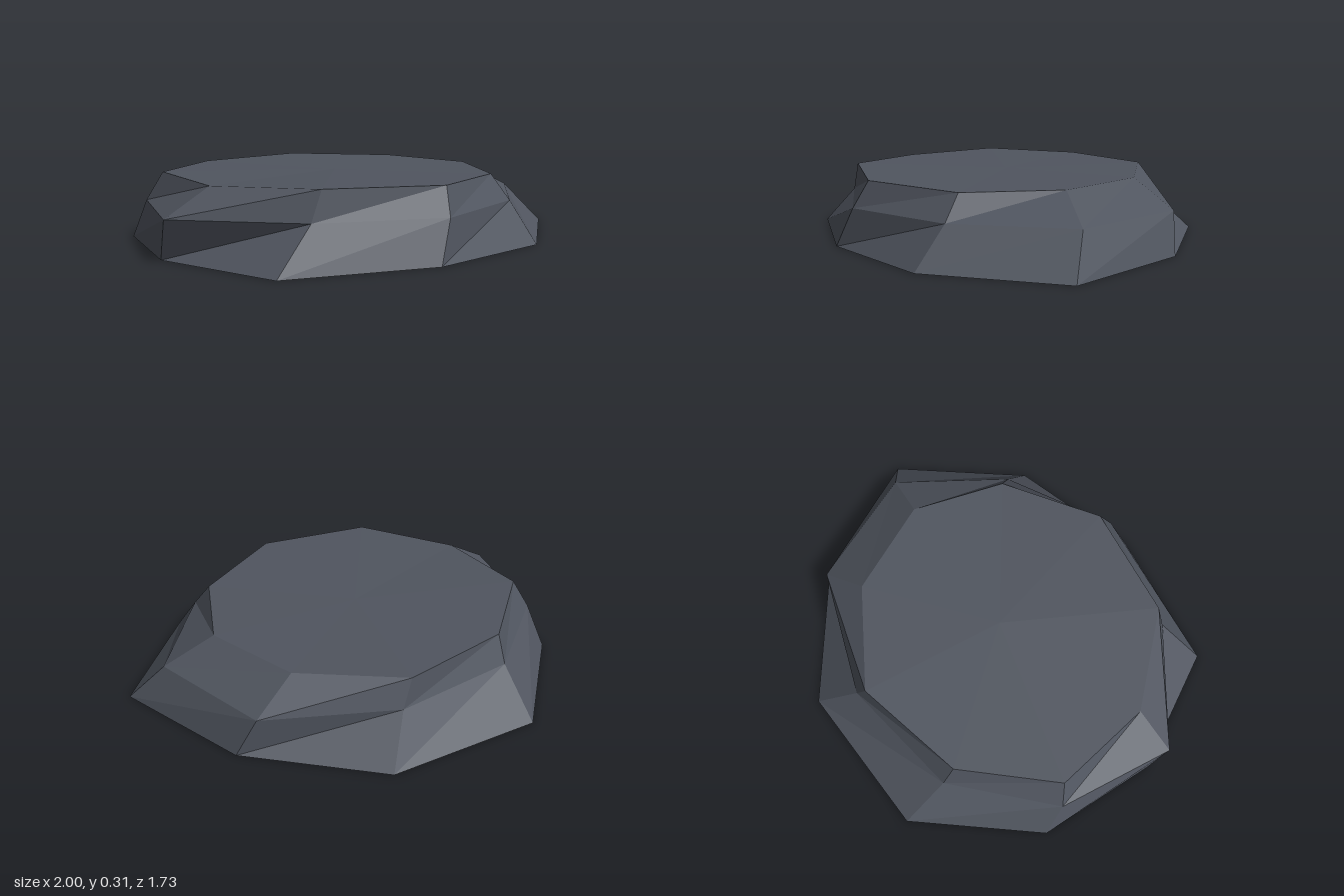
import * as THREE from 'three';

// Corners of each ring as [x, z, y], going round from +x towards +z
const foot = [[1, 0.05], [0.64, 0.61], [0.05, 0.86], [-0.63, 0.845], [-0.97, 0.33],
  [-1, -0.23], [-0.64, -0.76], [0.07, -0.865], [0.65, -0.52]].map(([x, z]) => [x, z, 0]);
const shoulder = [[0.84, -0.03], [0.58, 0.47], [0.12, 0.79], [-0.45, 0.72], [-0.97, 0.42],
  [-0.95, -0.13], [-0.6, -0.54], [-0.04, -0.69], [0.56, -0.55]].map(([x, z]) => [x, z, 0.183]);
const rim = [[0.605, -0.04, 0.303], [0.52, 0.4, 0.298], [0.135, 0.72, 0.306], [-0.4, 0.705, 0.315],
  [-0.77, 0.37, 0.303], [-0.88, -0.09, 0.312], [-0.59, -0.48, 0.309], [-0.09, -0.655, 0.311],
  [0.37, -0.44, 0.306]];

// Flat-faced mesh from a list of [x, z, y] triangle corners
function facets(name, corners, material) {
  const geometry = new THREE.BufferGeometry();
  const positions = corners.flatMap(([x, z, y]) => [x, y, z]);
  geometry.setAttribute('position', new THREE.Float32BufferAttribute(positions, 3));
  geometry.computeVertexNormals();
  const mesh = new THREE.Mesh(geometry, material);
  mesh.name = name;
  return mesh;
}

// Band of facets joining two rings
function band(lower, upper) {
  return lower.flatMap((a, i) => {
    const j = (i + 1) % lower.length;
    return [a, upper[i], lower[j], lower[j], upper[i], upper[j]];
  });
}

// Fan closing a ring, facing up or down
function cap(ring, y, up) {
  const centre = [-0.1, 0.03, y];
  return ring.flatMap((a, i) => {
    const b = ring[(i + 1) % ring.length];
    return up ? [centre, b, a] : [centre, a, b];
  });
}

export function createModel() {
  const stone = new THREE.MeshStandardMaterial({ color: 0x50555f });
  stone.name = 'slate stone';
  const rock = new THREE.Group();
  rock.name = 'flatRock';
  rock.add(
    facets('lowerSides', band(foot, shoulder), stone),
    facets('upperBevel', band(shoulder, rim), stone),
    facets('topFace', cap(rim, 0.306, true), stone),
    facets('underside', cap(foot, 0, false), stone),
  );
  return rock;
}
